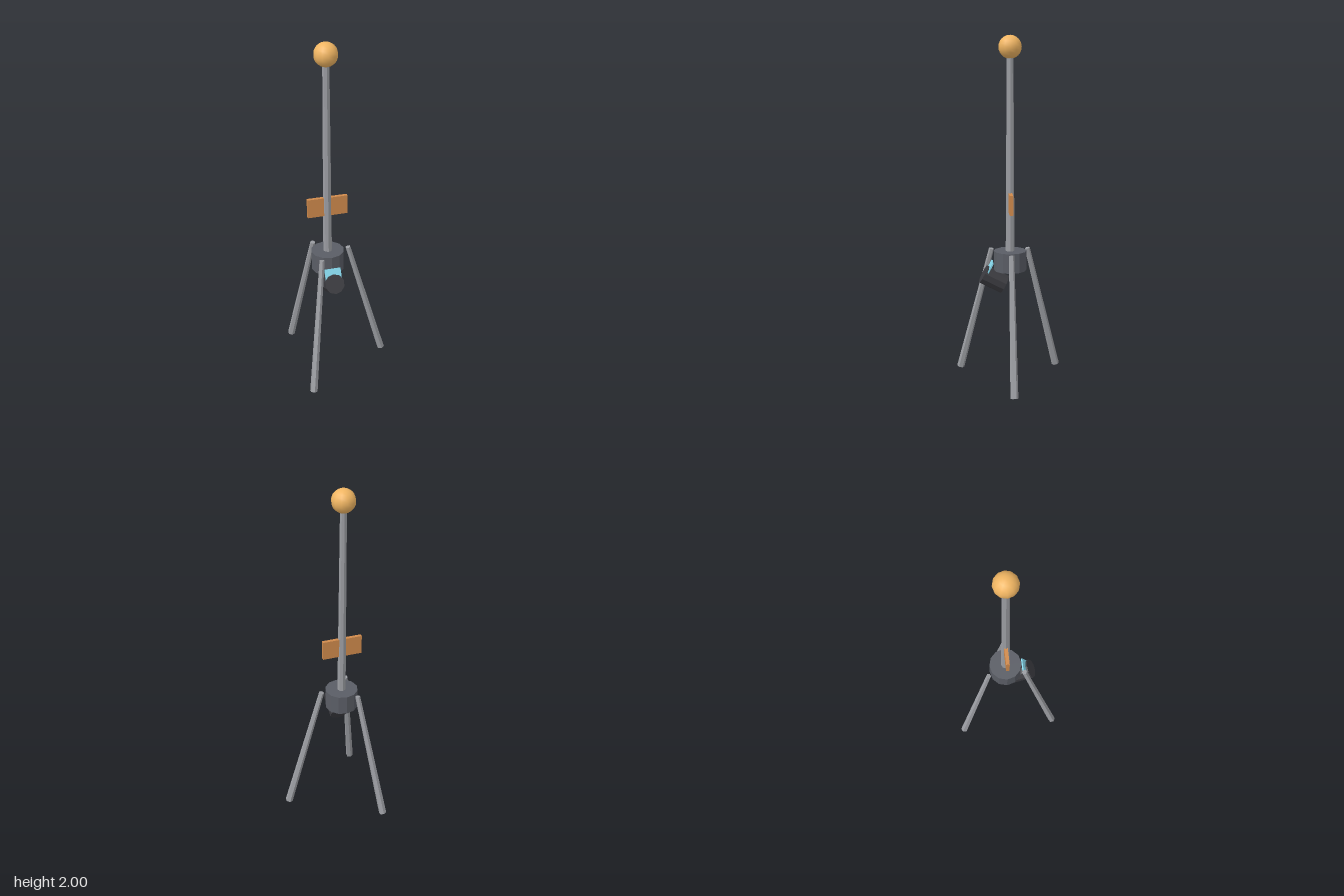
import * as THREE from 'three';

const CX = -0.085; // x of the mast axis

function material(color, flatShading = true) {
  return new THREE.MeshStandardMaterial({ color, flatShading });
}

function addPart(group, name, geometry, mat, x, y, z) {
  const mesh = new THREE.Mesh(geometry, mat);
  mesh.name = name;
  mesh.position.set(x, y, z);
  group.add(mesh);
  return mesh;
}

export function createModel() {
  const model = new THREE.Group();
  model.name = 'tripodBeacon';

  const metal = material(0x9b9da2);
  const darkMetal = material(0x5a5d65);
  const black = material(0x3b3b40);
  const amber = material(0xf0b562, false);
  const orange = material(0xd08a4c);
  const cyan = material(0x86d8ec);

  // Hub, mast, top ball and sign plate share one axis
  addPart(model, 'hub', new THREE.CylinderGeometry(0.095, 0.095, 0.115, 12), darkMetal, CX, 0.718, 0);
  addPart(model, 'mast', new THREE.CylinderGeometry(0.019, 0.026, 1.18, 8), metal, CX, 1.315, 0);
  addPart(model, 'topBall', new THREE.SphereGeometry(0.065, 12, 12), amber, CX, 1.935, 0);
  addPart(model, 'plate', new THREE.BoxGeometry(0.23, 0.112, 0.02), orange, CX, 1.061, 0);

  // Three splayed, tapered legs
  const up = new THREE.Vector3(0, 1, 0);
  for (let i = 0; i < 3; i++) {
    const a = (i * Math.PI * 2) / 3;
    const at = (r, y) => new THREE.Vector3(CX + r * Math.cos(a), y, r * Math.sin(a));
    const top = at(0.122, 0.775);
    const foot = at(0.339, 0.006);
    const axis = top.clone().sub(foot);
    const mid = top.clone().add(foot).multiplyScalar(0.5);
    const leg = addPart(model, 'leg' + (i + 1),
      new THREE.CylinderGeometry(0.015, 0.0225, axis.length(), 6), metal, mid.x, mid.y, mid.z);
    leg.quaternion.setFromUnitVectors(up, axis.normalize());
  }

  // Tilted barrel below the hub, with a thin panel set into it
  const tilt = 0.48;
  const barrel = addPart(model, 'barrel',
    new THREE.CylinderGeometry(0.0565, 0.0565, 0.14, 10), black, CX, 0.605, 0.095);
  barrel.rotation.x = Math.PI / 2 - tilt;
  const panel = addPart(model, 'panel',
    new THREE.BoxGeometry(0.094, 0.09, 0.008), cyan, CX, 0.669, 0.123);
  panel.rotation.x = -tilt;

  return model;
}
